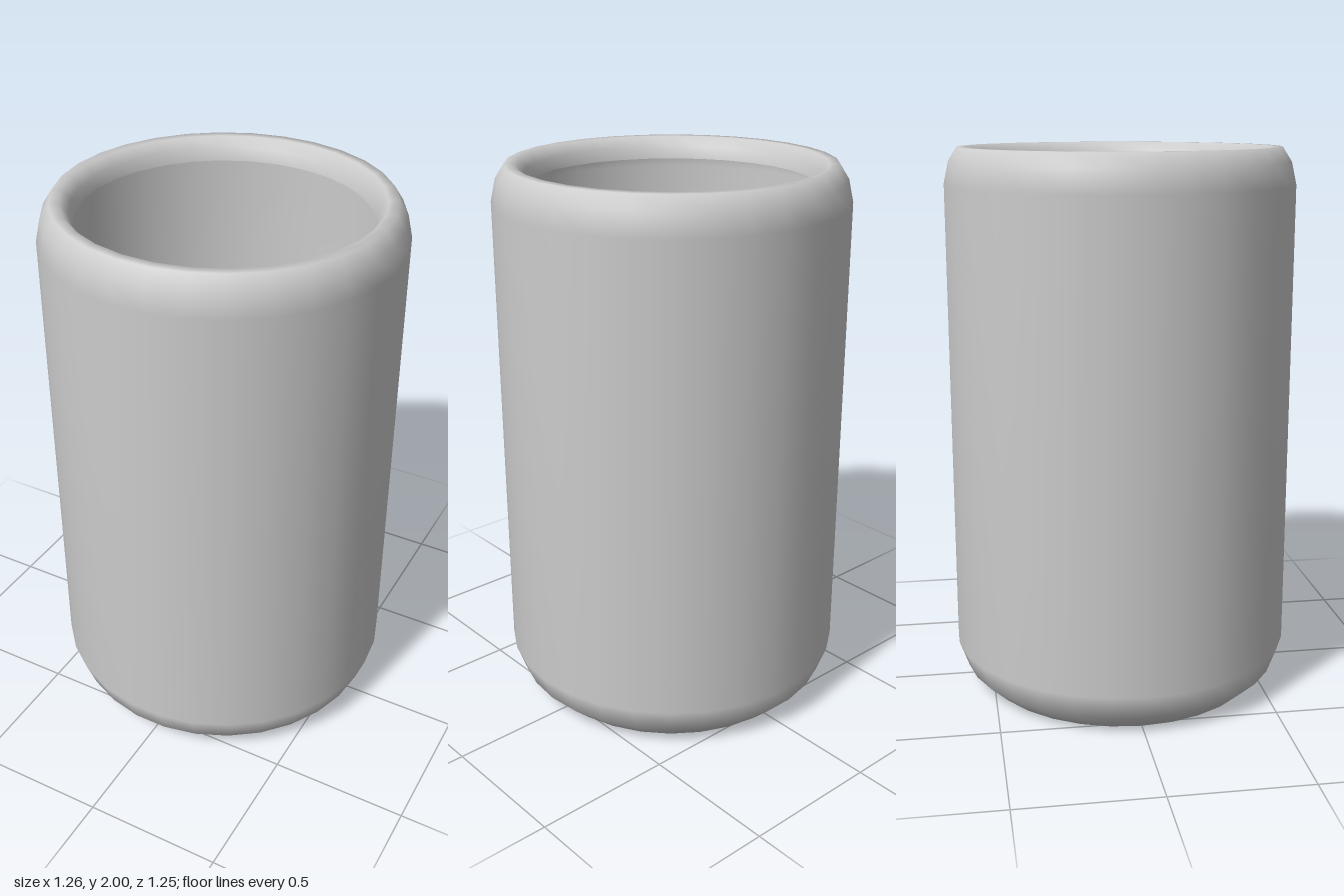
import * as THREE from 'three';
import { mergeVertices } from 'three/addons/utils/BufferGeometryUtils.js';

const SIDES = 30;

// Smooth surface of revolution with area-weighted normals and no seam
function turned(profile) {
  const points = profile.map(([r, y]) => new THREE.Vector2(r, y));
  const lathe = new THREE.LatheGeometry(points, SIDES, Math.PI / 2);
  lathe.deleteAttribute('uv');
  lathe.deleteAttribute('normal');
  const geometry = mergeVertices(lathe, 1e-4);
  geometry.computeVertexNormals();
  return geometry;
}

export function createModel() {
  const group = new THREE.Group();
  group.name = 'cup';
  const material = new THREE.MeshStandardMaterial({ color: 0xcccccc, side: THREE.DoubleSide });

  const profile = [
    // flat base and rounded lower edge
    [0, 0], [0.525, 0], [0.595, 0.065], [0.63, 0.16],
    // straight wall
    [0.63, 1.87],
    // rim rolled over to the inside
    [0.612, 1.95], [0.58, 2], [0.545, 2], [0.517, 1.965], [0.507, 1.92],
  ];
  const shell = new THREE.Mesh(turned(profile), material);
  shell.name = 'shellWithRolledRim';
  group.add(shell);
  return group;
}
